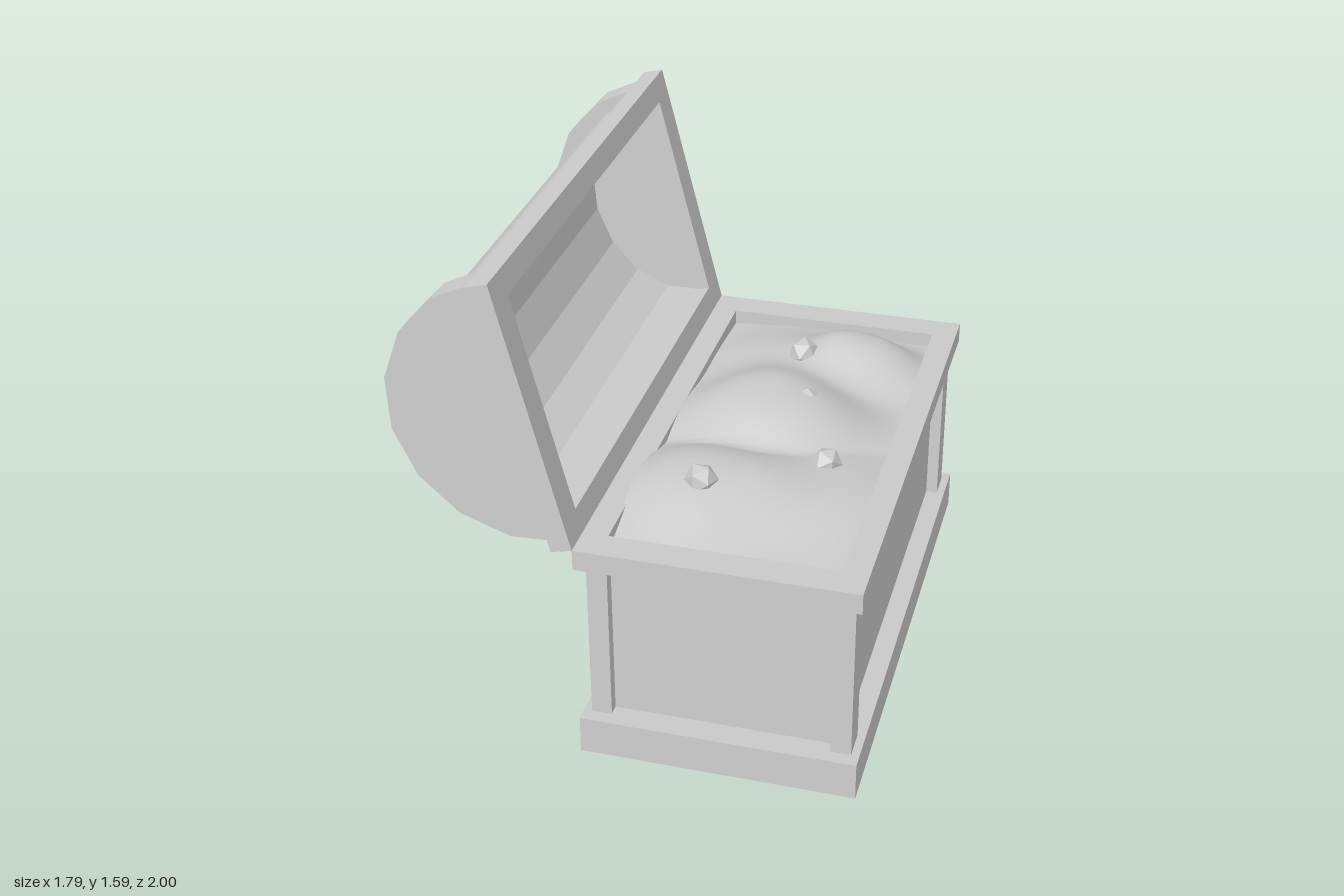
import * as THREE from 'three';

const W = 0.81, L = 1.58;            // outer footprint
const HOLE_W = 0.66, HOLE_L = 1.39;  // openings of rim and lid frame

export function createModel() {
  const grey = new THREE.MeshStandardMaterial({ color: 0xcccccc });
  const flat = new THREE.MeshStandardMaterial({ color: 0xcccccc, flatShading: true });
  const smooth = new THREE.MeshStandardMaterial({ color: 0xcccccc, side: THREE.DoubleSide });

  const add = (parent, name, geometry, material, x = 0, y = 0, z = 0) => {
    const mesh = new THREE.Mesh(geometry, material);
    mesh.name = name;
    mesh.position.set(x, y, z);
    parent.add(mesh);
    return mesh;
  };

  // rectangular frame lying flat, bottom on y = 0
  const frame = (height) => {
    const rect = (T, w, l) => {
      const s = new T();
      s.moveTo(-w / 2, -l / 2);
      s.lineTo(w / 2, -l / 2);
      s.lineTo(w / 2, l / 2);
      s.lineTo(-w / 2, l / 2);
      s.closePath();
      return s;
    };
    const shape = rect(THREE.Shape, W, L);
    shape.holes.push(rect(THREE.Path, HOLE_W, HOLE_L));
    return new THREE.ExtrudeGeometry(shape, { depth: height, bevelEnabled: false }).rotateX(-Math.PI / 2);
  };

  // half cylinder along z: solid, or hollow when inner half-width and height are given
  const halfRound = (radius, length, innerX = 0, innerY = 0) => {
    const shape = new THREE.Shape();
    shape.absarc(0, 0, radius, 0, Math.PI, false);
    if (innerX) shape.absellipse(0, 0, innerX, innerY, Math.PI, 0, true, 0);
    shape.closePath();
    return new THREE.ExtrudeGeometry(shape, { depth: length, bevelEnabled: false, curveSegments: 4 })
      .translate(0, 0, -length / 2);
  };

  const chest = new THREE.Group();
  chest.name = 'chest';

  // lower box
  add(chest, 'basePlate', new THREE.BoxGeometry(W, 0.118, L), grey, 0, 0.051, 0);
  add(chest, 'body', new THREE.BoxGeometry(W - 0.12, 0.52, L - 0.154), grey, 0, 0.37, 0);
  for (const sx of [-1, 1]) {
    for (const sz of [-1, 1]) {
      add(chest, 'cornerPost', new THREE.BoxGeometry(0.06, 0.52, 0.09), grey,
        sx * (W / 2 - 0.054), 0.37, sz * (L / 2 - 0.087));
    }
  }
  add(chest, 'rim', frame(0.063), grey, 0, 0.627, 0);

  // heaped filling: two overlapping mounds with rounded peaks
  const bump = (x, z, cx, cz, h, rx, rz) =>
    h * Math.exp(-((((x - cx) / rx) ** 2 + ((z - cz) / rz) ** 2) ** 1.4));
  const heapHeight = (x, z) => {
    const far = bump(x, z, 0.15, -0.47, 0.11, 0.18, 0.15) + bump(x, z, -0.05, -0.05, 0.135, 0.28, 0.23)
      + bump(x, z, -0.1, -0.42, 0.055, 0.22, 0.25);
    const near = bump(x, z, -0.16, 0.38, 0.11, 0.24, 0.25) + bump(x, z, 0.17, 0.27, 0.055, 0.2, 0.28);
    return 0.642 + Math.max(far, near);
  };
  const heap = new THREE.PlaneGeometry(0.68, 1.41, 28, 56).rotateX(-Math.PI / 2);
  const p = heap.attributes.position;
  for (let i = 0; i < p.count; i++) p.setY(i, heapHeight(p.getX(i), p.getZ(i)));
  heap.computeVertexNormals();
  add(chest, 'treasureHeap', heap, smooth);

  // gems half sunk in the heap: x, z, radius, lift
  [[-0.03, -0.4, 0.05, 0], [0.05, -0.09, 0.04, -0.025], [0.17, 0.175, 0.048, 0], [-0.135, 0.44, 0.05, 0]]
    .forEach(([x, z, r, lift], i) => {
      const gem = add(chest, 'gem', new THREE.IcosahedronGeometry(r, 0), flat, x, heapHeight(x, z) + lift, z);
      gem.rotation.set(0.55, i * 1.3, 0.1);
    });

  // lid, hinged on the -x edge of the rim and swung open
  const lid = new THREE.Group();
  lid.name = 'lid';
  lid.position.set(-W / 2, 0.69, 0);
  lid.rotation.z = THREE.MathUtils.degToRad(104);
  chest.add(lid);
  add(lid, 'lidFrame', frame(0.063), grey, W / 2, 0, 0);
  add(lid, 'lidBarrel', halfRound(0.357, HOLE_L, HOLE_W / 2, 0.275), grey, W / 2, 0.035, 0);
  for (const s of [-1, 1]) {
    // raised band around each end, closed by an end wall
    add(lid, 'lidBand', halfRound(0.4, 0.035, 0.35, 0.35), grey, W / 2, 0.035, s * 0.6775);
    add(lid, 'lidEndWall', halfRound(0.4, 0.055), grey, W / 2, 0.035, s * 0.7225);
  }

  // the whole chest is turned and slightly tipped
  chest.position.set(0.2425, 0.0775, 0.115);
  chest.rotation.set(-0.081, -0.356, 0);

  const model = new THREE.Group();
  model.name = 'treasureChest';
  model.add(chest);
  return model;
}
